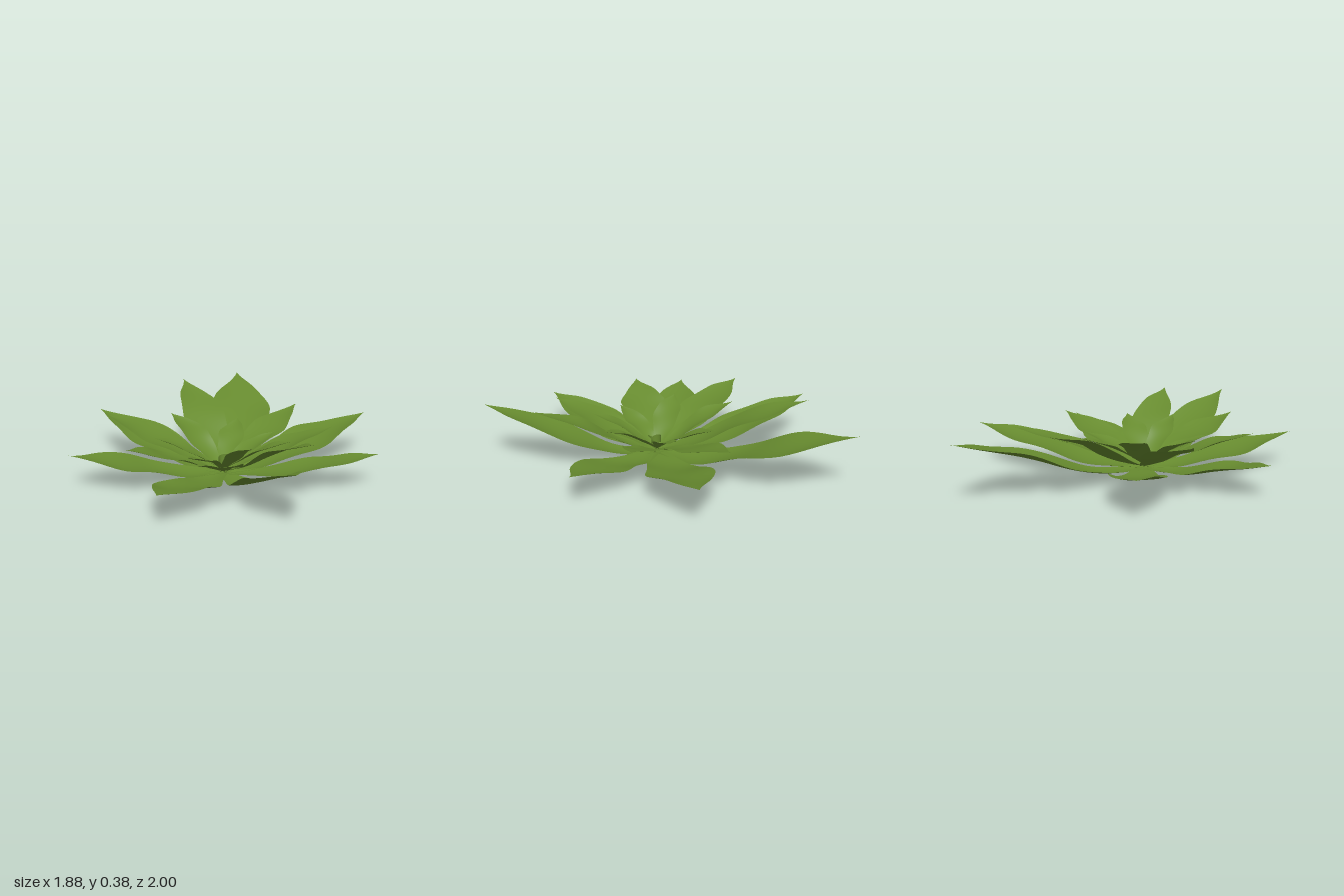
import * as THREE from 'three';

const leafGreen = new THREE.MeshStandardMaterial({ color: 0x678b2f, side: THREE.DoubleSide });
leafGreen.name = 'leafGreen';

const CENTRE = new THREE.Vector3(-0.12, 0, 0);
const UP = new THREE.Vector3(0, 1, 0);

// Half-width along a leaf at even steps, from the broad foot to the pointed tip
const outline = new THREE.SplineCurve(
  [0.25, 0.55, 0.86, 1, 0.64, 0].map((w, i) => new THREE.Vector2(i / 5, w)));

// Grid surface: point(s, u) with s along and u from -1 to 1 across
function surface(rows, cols, point) {
  const pos = [], index = [];
  for (let i = 0; i <= rows; i++) {
    for (let j = 0; j <= cols; j++) {
      pos.push(...point(i / rows, (j / cols) * 2 - 1).toArray());
      if (i < rows && j < cols) {
        const a = i * (cols + 1) + j, b = a + cols + 1;
        index.push(a, a + 1, b, a + 1, b + 1, b);
      }
    }
  }
  const g = new THREE.BufferGeometry();
  g.setAttribute('position', new THREE.Float32BufferAttribute(pos, 3));
  g.setIndex(index);
  g.computeVertexNormals();
  return g;
}

// Cupped, slightly rippled leaf along a rib that leaves the heart, bends sideways and rises
function leaf([x, y, z, half, bend], ring, phase) {
  const tip = new THREE.Vector3(x, y, z);
  const across = tip.clone().sub(CENTRE).cross(UP).normalize();
  const ribPoint = (t, height, shift) =>
    CENTRE.clone().lerp(tip, t).addScaledVector(across, shift).setY(height);
  const rib = new THREE.CatmullRomCurve3([
    ribPoint(0, ring.baseY, 0), ribPoint(0.25, ring.nearY, bend / 2),
    ribPoint(0.6, y * ring.rise, bend), tip,
  ]);
  return surface(28, 8, (s, u) => {
    const p = rib.getPointAt(s);
    const side = rib.getTangentAt(s).cross(UP).normalize();
    const w = half * Math.max(0, outline.getPoint(s).y) * (1 + 0.05 * Math.sin(s * 17 + phase + u));
    p.addScaledVector(side, w * u);
    p.y += w * (ring.cup * u * u + 0.06 * u * Math.sin(s * 13 + phase));
    return p;
  });
}

// Three whorls; each leaf is its tip x, y, z, its half-width and its sideways bend
const outerRing = {
  name: 'outerLeaf', baseY: 0.03, nearY: 0.04, rise: 0.54, cup: 0.15,
  leaves: [
    [-0.39, 0.23, -1, 0.16, 0.02], [0.64, 0.33, -0.98, 0.19, 0.05], [0.94, 0.23, 0, 0.18, 0],
    [0.54, 0.19, 0.62, 0.145, 0.03], [-0.33, 0.33, 1, 0.145, -0.03],
    [-0.87, 0.19, 0.52, 0.16, 0.015], [-0.94, 0.19, -0.34, 0.165, 0],
  ],
};
const middleRing = {
  name: 'middleLeaf', baseY: 0.04, nearY: 0.11, rise: 0.69, cup: 0.12,
  leaves: [
    [0.14, 0.38, -0.85, 0.13, 0.025], [0.6, 0.28, -0.26, 0.115, 0], [0.48, 0.28, 0.27, 0.12, 0],
    [-0.02, 0.37, 0.74, 0.115, -0.03], [-0.5, 0.28, 0.55, 0.13, 0], [-0.76, 0.28, 0, 0.14, 0],
    [-0.55, 0.31, -0.6, 0.135, 0],
  ],
};
const innerRing = {
  name: 'innerLeaf', baseY: 0.05, nearY: 0.115, rise: 0.75, cup: 0.2,
  leaves: [
    [-0.18, 0.29, -0.48, 0.085, 0.01], [0.18, 0.25, -0.29, 0.075, 0], [0.25, 0.22, 0, 0.07, 0],
    [0.11, 0.27, 0.36, 0.075, 0], [-0.18, 0.28, 0.38, 0.07, 0], [-0.46, 0.22, 0.16, 0.065, 0],
    [-0.48, 0.26, -0.19, 0.08, 0],
  ],
};

export function createModel() {
  const model = new THREE.Group();
  model.name = 'rosettePlant';
  const add = (name, geometry) => {
    const mesh = new THREE.Mesh(geometry, leafGreen);
    mesh.name = name;
    model.add(mesh);
    return mesh;
  };

  [outerRing, middleRing, innerRing].forEach((ring, r) => ring.leaves.forEach((row, i) => {
    add(ring.name + (i + 1), leaf(row, ring, i * 1.9 + r));
  }));

  // Young leaf curling upward at the heart
  add('curledBud', surface(30, 4, (s, u) => {
    const a = s * Math.PI * 2.6, r = 0.015 + 0.03 * s;
    const height = 0.025 * Math.sin(Math.PI * (0.15 + 0.85 * s));
    return new THREE.Vector3(
      CENTRE.x + r * Math.cos(a), 0.07 + 0.07 * s + height * u, 0.01 + r * Math.sin(a));
  }));

  // Short thin stalk beneath the rosette
  const stalk = add('stalk', new THREE.CylinderGeometry(0.008, 0.003, 0.05, 8));
  stalk.position.set(-0.11, 0.025, 0.015);

  return model;
}
